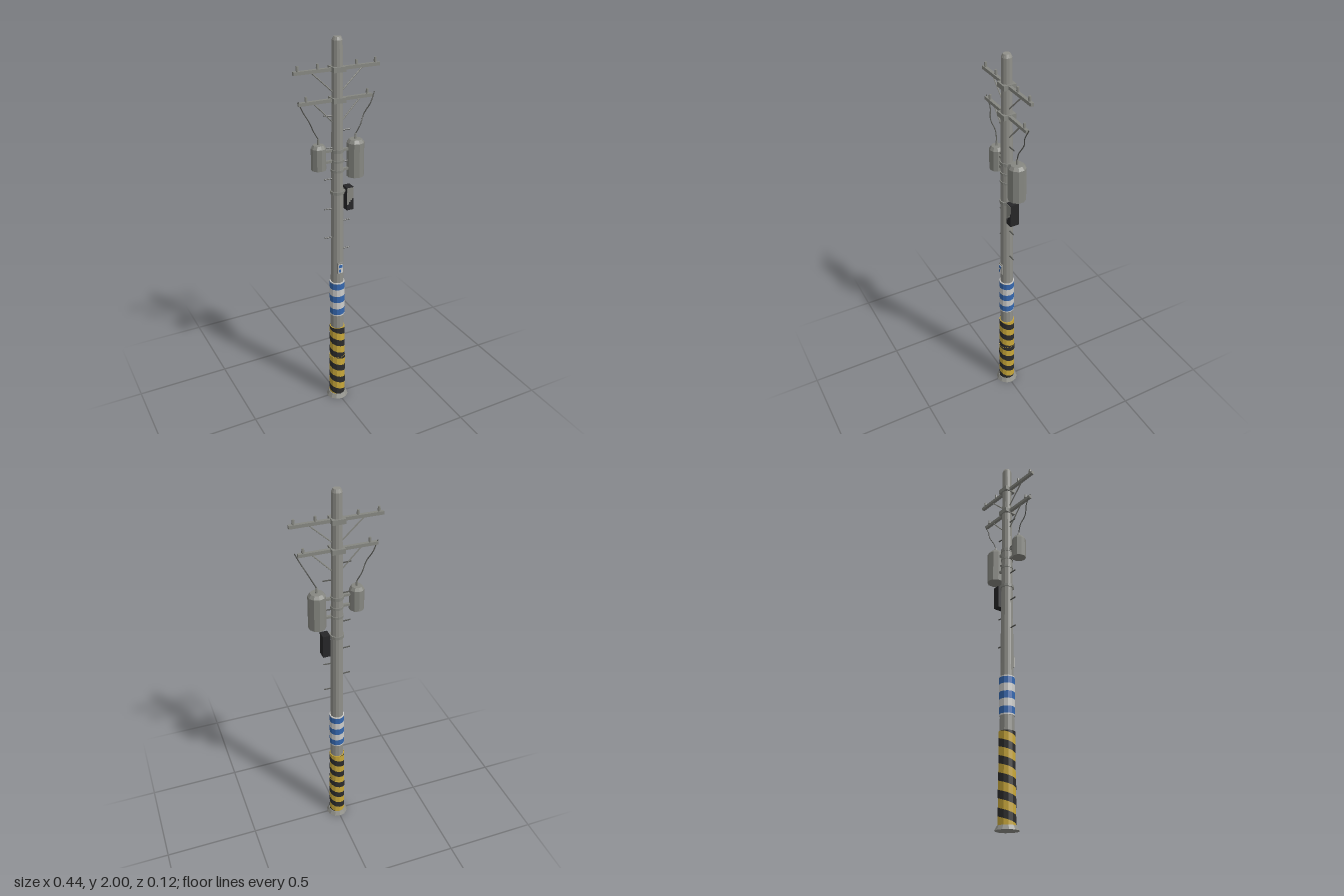
import * as THREE from 'three';

const mat = (name, color, extra = {}) => {
  const m = new THREE.MeshStandardMaterial({ color, flatShading: true, ...extra });
  m.name = name;
  return m;
};

export function createModel() {
  const concrete = mat('concrete grey', 0x90908a);
  const steel = mat('steel grey', 0x868781);
  const yellow = mat('warning yellow', 0xc9a83a);
  const black = mat('warning black', 0x2c2c2c, { side: THREE.DoubleSide });
  const blue = mat('band blue', 0x3568b0);
  const white = mat('band white', 0xcdcdcb);
  const dark = mat('cabinet black', 0x262628);
  const wireMat = mat('wire grey', 0x555652);

  const model = new THREE.Group();
  model.name = 'utilityPole';
  const SIDES = 12;

  const add = (name, geo, material, x = 0, y = 0, z = 0, parent = model) => {
    const m = new THREE.Mesh(geo, material);
    m.name = name;
    m.position.set(x, y, z);
    parent.add(m);
    return m;
  };
  const box = (name, material, w, h, d, x, y, z) =>
    add(name, new THREE.BoxGeometry(w, h, d), material, x, y, z);
  // upright cylinder between two heights
  const column = (name, material, rBottom, rTop, y0, y1, x = 0, sides = SIDES) =>
    add(name, new THREE.CylinderGeometry(rTop, rBottom, y1 - y0, sides), material, x, (y0 + y1) / 2, 0);
  // straight rod between two points
  const rod = (name, material, a, b, r, sides = 5) => {
    const p = new THREE.Vector3(...a), q = new THREE.Vector3(...b);
    const m = add(name, new THREE.CylinderGeometry(r, r, p.distanceTo(q), sides), material);
    m.position.copy(p).lerp(q, 0.5);
    m.quaternion.setFromUnitVectors(new THREE.Vector3(0, 1, 0), q.sub(p).normalize());
    return m;
  };
  const lathe = (name, material, pts, x, sides) =>
    add(name, new THREE.LatheGeometry(pts.map(p => new THREE.Vector2(...p)), sides), material, x);

  // tapered pole with chamfered top, and its footing
  lathe('pole', concrete, [[0.039, 0.01], [0.025, 1.985], [0.018, 2], [0, 2]], 0, SIDES);
  column('footing', concrete, 0.059, 0.047, 0, 0.022);

  // yellow sleeves with black helical stripes
  const sleeves = [[0.02, 0.27, 0.0425], [0.27, 0.462, 0.0405]];
  const period = 0.0815, half = 0.0195;
  for (const [y0, y1, r] of sleeves) {
    column('warningSleeve', yellow, r, r, y0, y1);
    const pos = [];
    const clamp = y => Math.min(y1, Math.max(y0, y));
    const point = (i, y) => {
      const a = (i / SIDES) * Math.PI * 2;
      return [Math.sin(a) * (r + 0.0008), y, Math.cos(a) * (r + 0.0008)];
    };
    for (let n = -1; n < 8; n++) {
      for (let i = 0; i < SIDES; i++) {
        const c0 = 0.037 + period * (n - i / SIDES), c1 = c0 - period / SIDES;
        const [b0, t0, b1, t1] = [c0 - half, c0 + half, c1 - half, c1 + half].map(clamp);
        if (t0 - b0 + t1 - b1 < 1e-6) continue;
        const A = point(i, b0), B = point(i + 1, b1), C = point(i + 1, t1), D = point(i, t0);
        pos.push(...A, ...B, ...C, ...A, ...C, ...D);
      }
    }
    const g = new THREE.BufferGeometry();
    g.setAttribute('position', new THREE.Float32BufferAttribute(pos, 3));
    g.computeVertexNormals();
    add('warningStripes', g, black);
  }

  // blue and white banded sleeve
  const cuts = [0.54, 0.547, 0.583, 0.622, 0.66, 0.7, 0.735, 0.741];
  for (let i = 0; i < cuts.length - 1; i++)
    column('noticeBand', i % 2 ? blue : white, 0.0395, 0.0395, cuts[i], cuts[i + 1]);

  // small front plate
  box('platePad', concrete, 0.03, 0.062, 0.01, 0, 0.83, 0.032);
  box('plate', white, 0.026, 0.05, 0.003, 0, 0.828, 0.038);
  box('plateMark', blue, 0.02, 0.016, 0.002, 0, 0.842, 0.0395);
  box('plateMark', blue, 0.01, 0.016, 0.002, -0.004, 0.816, 0.0395);

  // crossarms with collars, braces and insulators
  const arms = [
    { y: 1.855, x0: -0.222, x1: 0.222, pins: [0.1, 0.2], brace: [0.13, 1.75] },
    { y: 1.711, x0: -0.2, x1: 0.185, pins: [0.16], brace: [0.12, 1.605] },
  ];
  for (const { y, x0, x1, pins, brace } of arms) {
    box('crossarm', steel, x1 - x0, 0.016, 0.016, (x0 + x1) / 2, y, 0);
    box('armCollar', steel, 0.064, 0.024, 0.064, 0, y, 0);
    for (const s of [-1, 1]) {
      rod('armBrace', steel, [s * brace[0], y - 0.007, 0], [s * 0.024, brace[1], 0], 0.0035);
      for (const x of pins) {
        column('insulatorPin', steel, 0.005, 0.005, y, y + 0.02, s * x, 8);
        column('insulator', steel, 0.008, 0.006, y + 0.013, y + 0.032, s * x, 8);
      }
    }
  }

  // transformers with lids, brackets, bushings and drop wires
  const tanks = [
    { s: -1, r: 0.037, y0: 1.38, bars: [1.465, 1.41] },
    { s: 1, r: 0.044, y0: 1.315, bars: [1.46, 1.36] },
  ];
  for (const { s, r, y0, bars } of tanks) {
    const x = s * 0.1;
    lathe('transformer', steel, [[0, y0], [r, y0], [r, 1.488], [r * 0.72, 1.504], [0, 1.506]], x, 10);
    column('bushing', steel, 0.007, 0.005, 1.5, 1.532, x, 8);
    for (const y of bars) {
      box('tankBracket', steel, 0.06, 0.012, 0.014, s * 0.045, y, 0);
      column('bracketBand', steel, 0.033, 0.033, y - 0.006, y + 0.006);
    }
    const path = new THREE.CatmullRomCurve3([
      [0.1, 1.53, 0], [0.122, 1.572, 0.006], [0.148, 1.622, -0.006],
      [0.175, 1.673, 0.007], [0.2, 1.725, 0],
    ].map(([px, py, pz]) => new THREE.Vector3(s * px, py, s * pz)));
    add('dropWire', new THREE.TubeGeometry(path, 16, 0.0028, 5), wireMat);
  }

  // control cabinet on a clamp, pale cover with a stepped lower edge
  column('cabinetClamp', steel, 0.036, 0.036, 1.238, 1.254);
  box('cabinetBracket', steel, 0.05, 0.012, 0.016, 0.03, 1.246, 0);
  box('cabinet', dark, 0.038, 0.122, 0.048, 0.061, 1.205, 0);
  const cover = new THREE.Shape([
    [-0.018, 0.058], [-0.018, -0.03], [-0.009, -0.03], [-0.009, -0.018], [0, -0.018],
    [0, -0.008], [0.009, -0.008], [0.009, 0], [0.018, 0], [0.018, 0.058],
  ].map(p => new THREE.Vector2(...p)));
  add('cabinetCover', new THREE.ExtrudeGeometry(cover, { depth: 0.002, bevelEnabled: false }),
    steel, 0.061, 1.205, 0.0235);

  // climbing pegs, alternating sides
  for (let i = 0; i < 10; i++) {
    const s = i % 2 ? -1 : 1, y = 0.922 + i * 0.0795;
    if (Math.abs(y - 1.24) < 0.01) continue;
    rod('climbingPeg', wireMat, [s * 0.02, y, 0], [s * 0.07, y + 0.002, 0], 0.0035);
  }

  return model;
}
